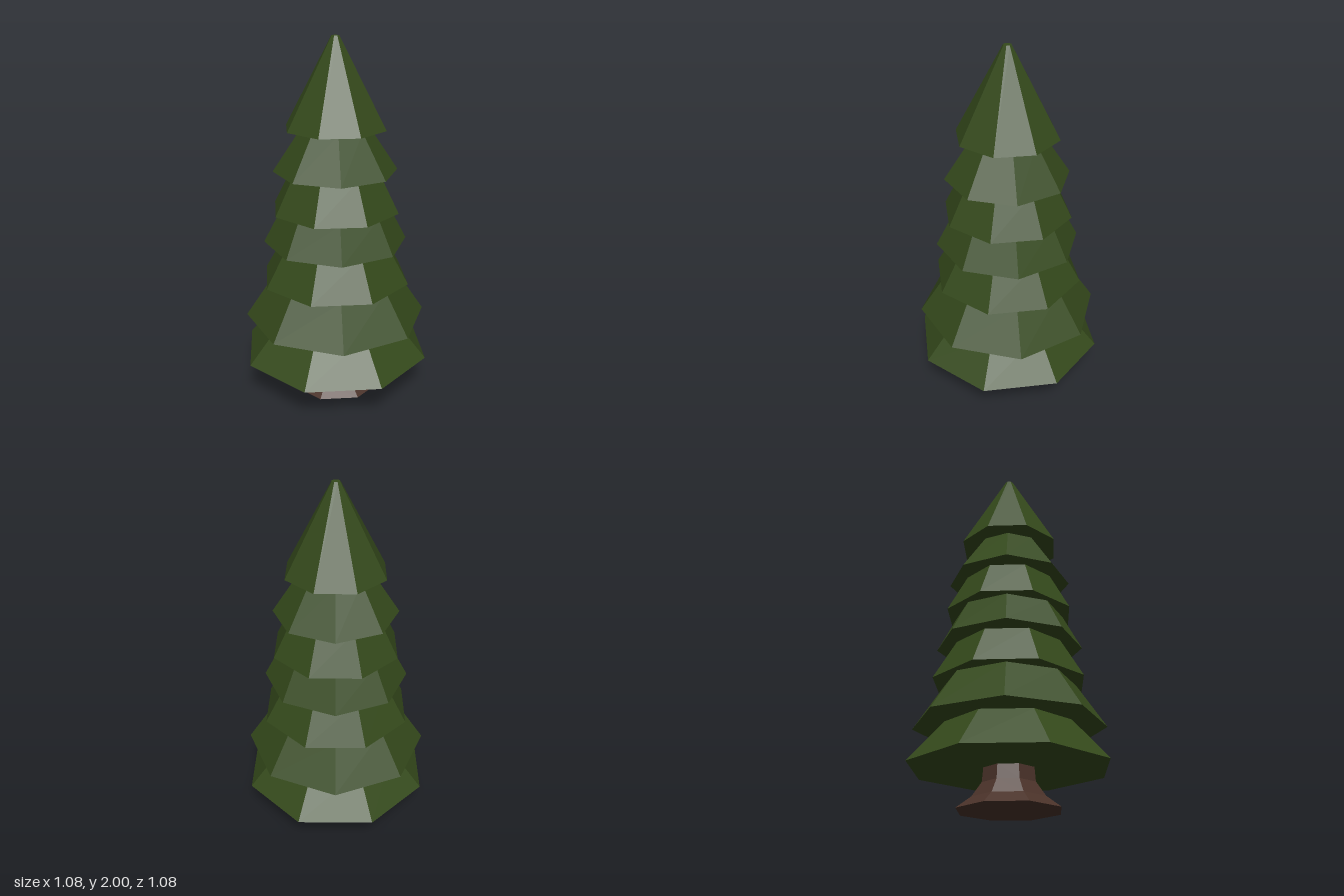
import * as THREE from 'three';

const SIDES = 8;

// Foliage tiers, bottom to top: [base y, top y, base radius, top radius]
const TIERS = [
  [0.21, 0.43, 0.54, 0.35],
  [0.43, 0.66, 0.514, 0.36],
  [0.66, 0.88, 0.425, 0.3],
  [0.88, 1.07, 0.4, 0.3],
  [1.07, 1.285, 0.36, 0.25],
  [1.285, 1.52, 0.341, 0.185],
  [1.52, 2.0, 0.282, 0.022],
];

// Flared trunk, closed at the foot: [radius, y]
const TRUNK = [[0, 0], [0.28, 0], [0.2, 0.06], [0.147, 0.135], [0.14, 0.21]];

export function createModel() {
  const tree = new THREE.Group();
  tree.name = 'pineTree';
  const green = new THREE.MeshStandardMaterial({ color: 0x34491b, flatShading: true });
  const brown = new THREE.MeshStandardMaterial({ color: 0x4a3229, flatShading: true });

  const profile = TRUNK.map(([r, y]) => new THREE.Vector2(r, y));
  const trunk = new THREE.Mesh(new THREE.LatheGeometry(profile, SIDES), brown);
  trunk.name = 'trunk';
  tree.add(trunk);

  // Every other tier is turned by half a side
  TIERS.forEach(([y0, y1, r0, r1], i) => {
    const tier = new THREE.Mesh(new THREE.CylinderGeometry(r1, r0, y1 - y0, SIDES), green);
    tier.name = `foliageTier${i + 1}`;
    tier.position.y = (y0 + y1) / 2;
    tier.rotation.y = (i % 2) * Math.PI / SIDES;
    tree.add(tier);
  });

  return tree;
}
